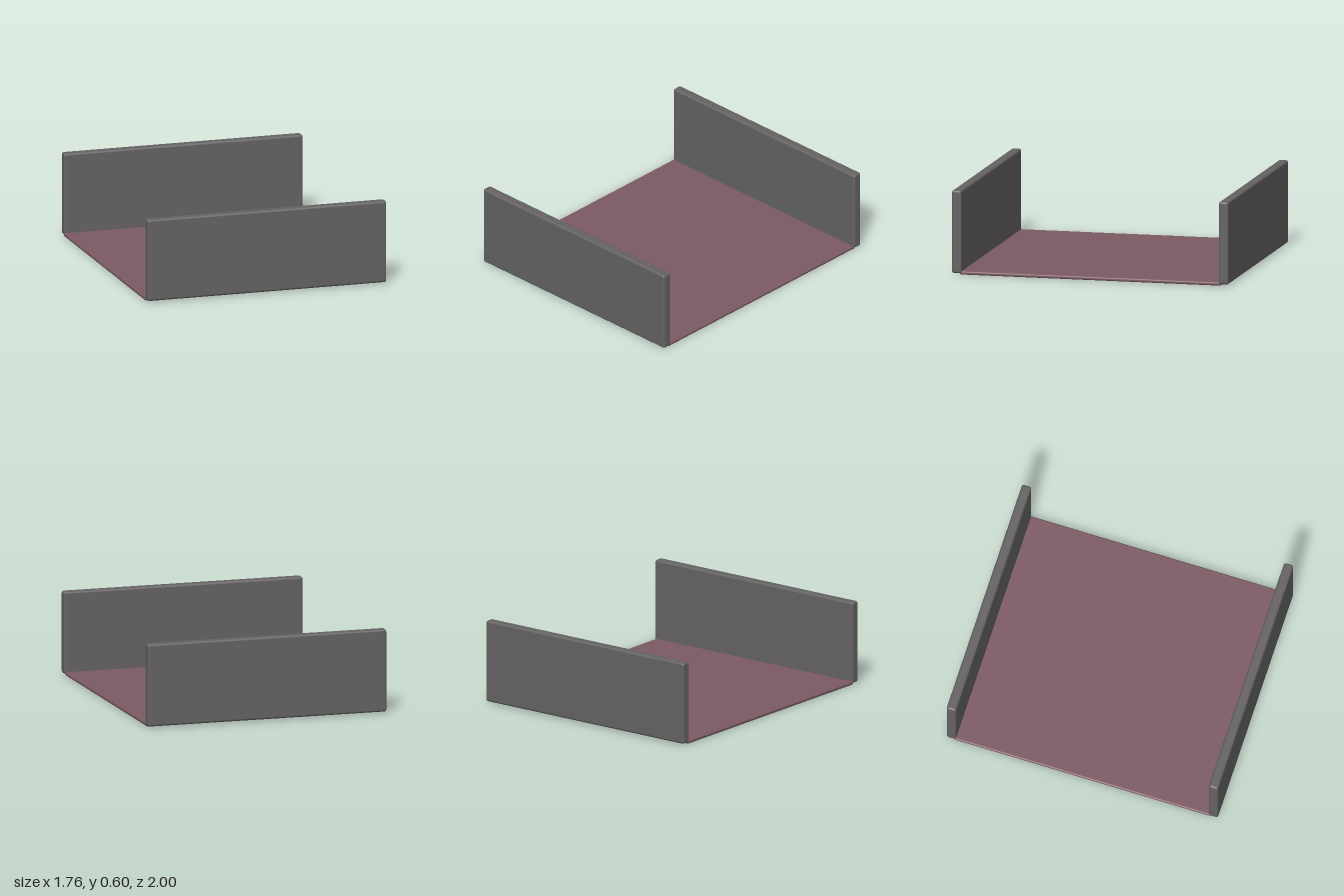
import * as THREE from 'three';
import { RoundedBoxGeometry } from 'three/addons/geometries/RoundedBoxGeometry.js';

const panelMaterial = new THREE.MeshStandardMaterial({ color: 0x646262 });
const floorMaterial = new THREE.MeshStandardMaterial({ color: 0x7c5a64 });

// Box with rounded edges, given by its extents on each axis
function roundedBox(name, [x0, x1], [y0, y1], [z0, z1], radius, material) {
  const geometry = new RoundedBoxGeometry(x1 - x0, y1 - y0, z1 - z0, 3, radius);
  const mesh = new THREE.Mesh(geometry, material);
  mesh.position.set((x0 + x1) / 2, (y0 + y1) / 2, (z0 + z1) / 2);
  mesh.name = name;
  return mesh;
}

export function createModel() {
  const group = new THREE.Group();
  group.name = 'tray';

  // Thin floor, its ends tucked into the panels
  group.add(roundedBox('floor', [-0.88, 0.87], [0, 0.025], [-0.945, 0.945], 0.01, floorMaterial));

  // Upright panels at the front and back
  for (const [name, z] of [['frontPanel', 0.965], ['backPanel', -0.965]]) {
    group.add(roundedBox(name, [-0.88, 0.88], [0.01, 0.6], [z - 0.035, z + 0.035], 0.016, panelMaterial));
  }
  return group;
}
